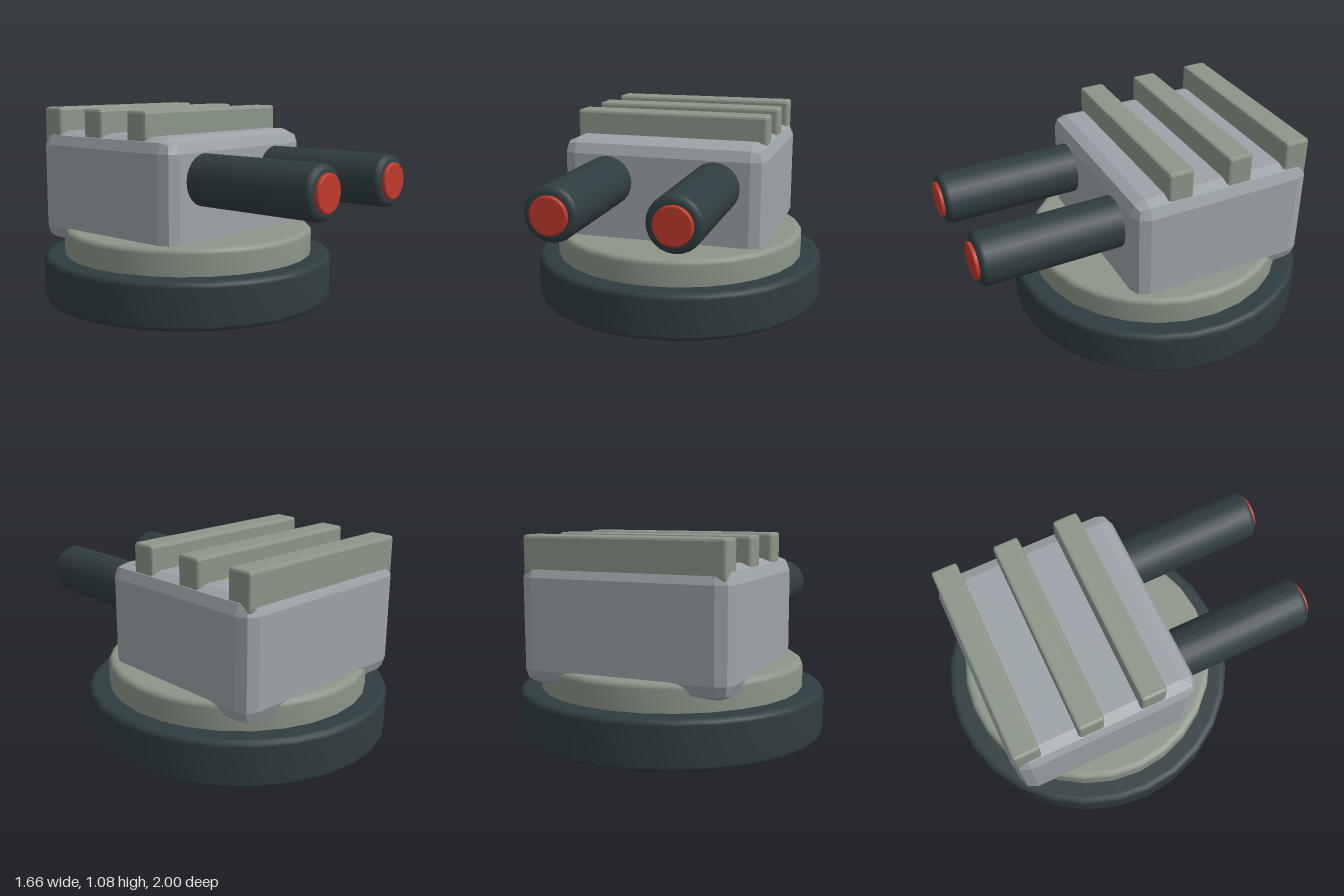
import * as THREE from 'three';
import { RoundedBoxGeometry } from 'three/addons/geometries/RoundedBoxGeometry.js';

const paint = (color, flatShading = false) => new THREE.MeshStandardMaterial({ color, flatShading });

// Closed disc or cylinder with softened rims, standing on y = 0
function bevelledCylinder(radius, height, bevel, sides) {
  const profile = [new THREE.Vector2(0, 0), new THREE.Vector2(radius - bevel * 1.3, 0)];
  for (const [cy, start] of [[bevel, -Math.PI / 2], [height - bevel, 0]]) {
    for (let i = 0; i <= 3; i++) {
      const a = start + (i / 3) * Math.PI / 2;
      profile.push(new THREE.Vector2(radius - bevel + Math.cos(a) * bevel, cy + Math.sin(a) * bevel));
    }
  }
  profile.push(new THREE.Vector2(radius - bevel * 1.3, height), new THREE.Vector2(0, height));
  return new THREE.LatheGeometry(profile, sides);
}

export function createModel() {
  const model = new THREE.Group();
  model.name = 'turret';
  const dark = paint(0x2f3d40);
  const sage = paint(0x8c9688);
  const sageFlat = paint(0x8c9688, true);
  const steel = paint(0x9ca3a8, true);
  const red = paint(0xc0392b);

  const add = (name, geometry, material, x, y, z) => {
    const mesh = new THREE.Mesh(geometry, material);
    mesh.name = name;
    mesh.position.set(x, y, z);
    model.add(mesh);
    return mesh;
  };

  // Round base and the turntable on it
  add('base', bevelledCylinder(0.83, 0.255, 0.03, 28), dark, 0, 0, -0.17);
  add('turntable', bevelledCylinder(0.714, 0.2, 0.03, 28), sage, 0, 0.2, -0.168);

  // Chamfered housing
  add('housing', new RoundedBoxGeometry(1.14, 0.63, 1.03, 1, 0.08), steel, 0, 0.63, -0.285);

  // Cooling fins across the roof
  [-0.03, -0.37, -0.713].forEach((z, i) => {
    add('fin' + (i + 1), new RoundedBoxGeometry(1.085, 0.2, 0.14, 1, 0.015), sageFlat, 0, 0.978, z);
  });

  // Twin barrels with red muzzles
  for (const [side, x] of [['left', 0.3], ['right', -0.3]]) {
    const barrel = add(side + 'Barrel', bevelledCylinder(0.139, 0.88, 0.03, 24), dark, x, 0.72, 0.1);
    const muzzle = add(side + 'Muzzle', bevelledCylinder(0.097, 0.06, 0.008, 24), red, x, 0.72, 0.94);
    barrel.rotation.x = muzzle.rotation.x = Math.PI / 2;
  }
  return model;
}
